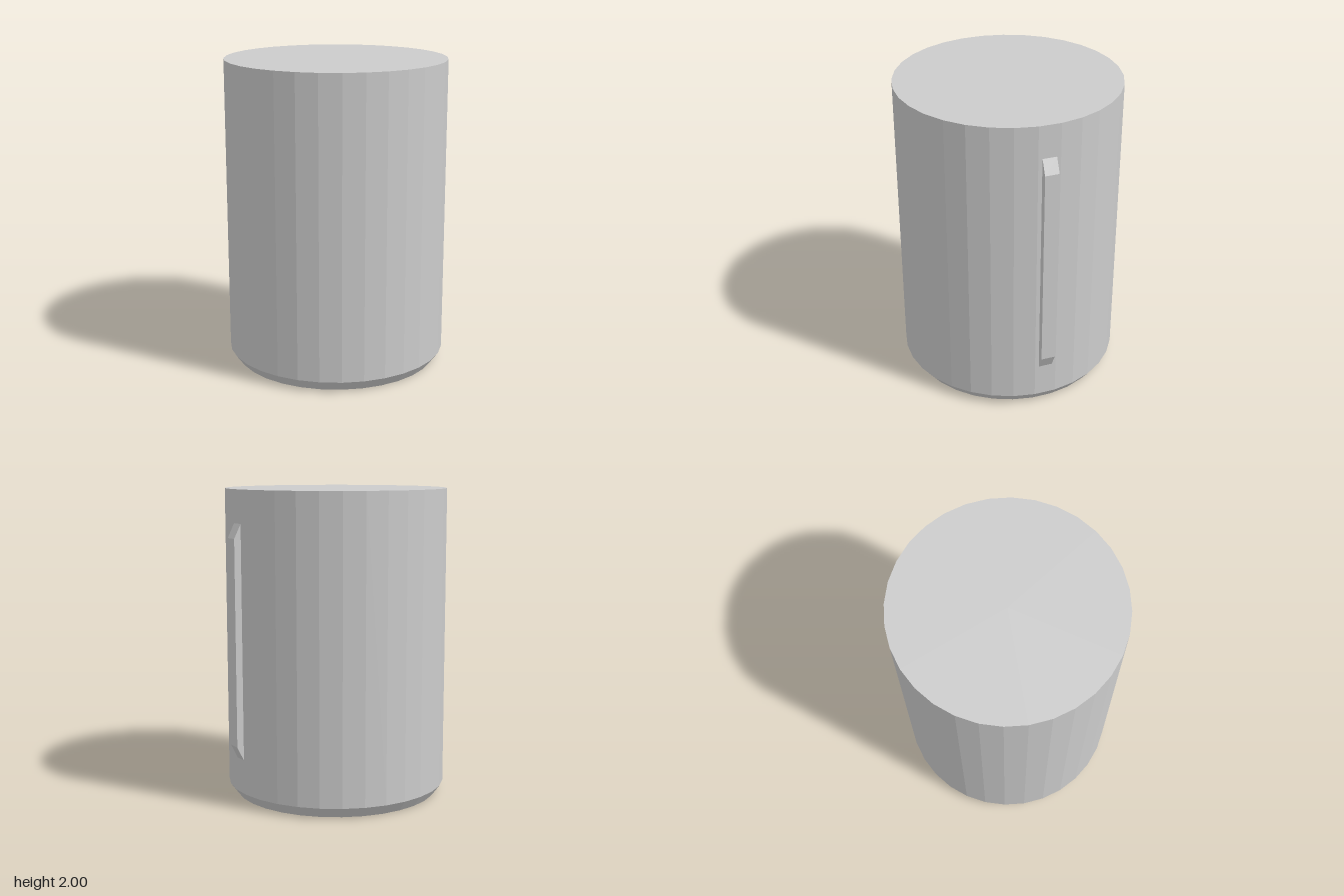
import * as THREE from 'three';

const SIDES = 32;
const RADIUS = 0.717;

export function createModel() {
  const model = new THREE.Group();
  const material = new THREE.MeshStandardMaterial({ color: 0xcccccc, flatShading: true });

  // Solid faceted body with a chamfered bottom edge
  const profile = [[0, 0], [0.665, 0], [RADIUS, 0.07], [RADIUS, 2], [0, 2]]
    .map(([r, y]) => new THREE.Vector2(r, y));
  const body = new THREE.Mesh(new THREE.LatheGeometry(profile, SIDES), material);
  body.name = 'body';
  model.add(body);

  // Raised rib with sloped ends, centred on one facet at the back
  const facet = RADIUS * Math.cos(Math.PI / SIDES);
  const outer = facet + 0.045;
  const inner = facet - 0.02;
  const width = 0.09;
  const outline = new THREE.Shape([
    [inner, 0.29], [facet, 0.29], [outer, 0.38], [outer, 1.7], [facet, 1.79], [inner, 1.79],
  ].map(([r, y]) => new THREE.Vector2(r, y)));
  const ribGeometry = new THREE.ExtrudeGeometry(outline, { depth: width, bevelEnabled: false });
  ribGeometry.translate(0, 0, -width / 2);
  const rib = new THREE.Mesh(ribGeometry, material);
  rib.name = 'rib';
  rib.rotation.y = Math.PI / 2 - 2.5 * (2 * Math.PI / SIDES);
  model.add(rib);

  return model;
}
